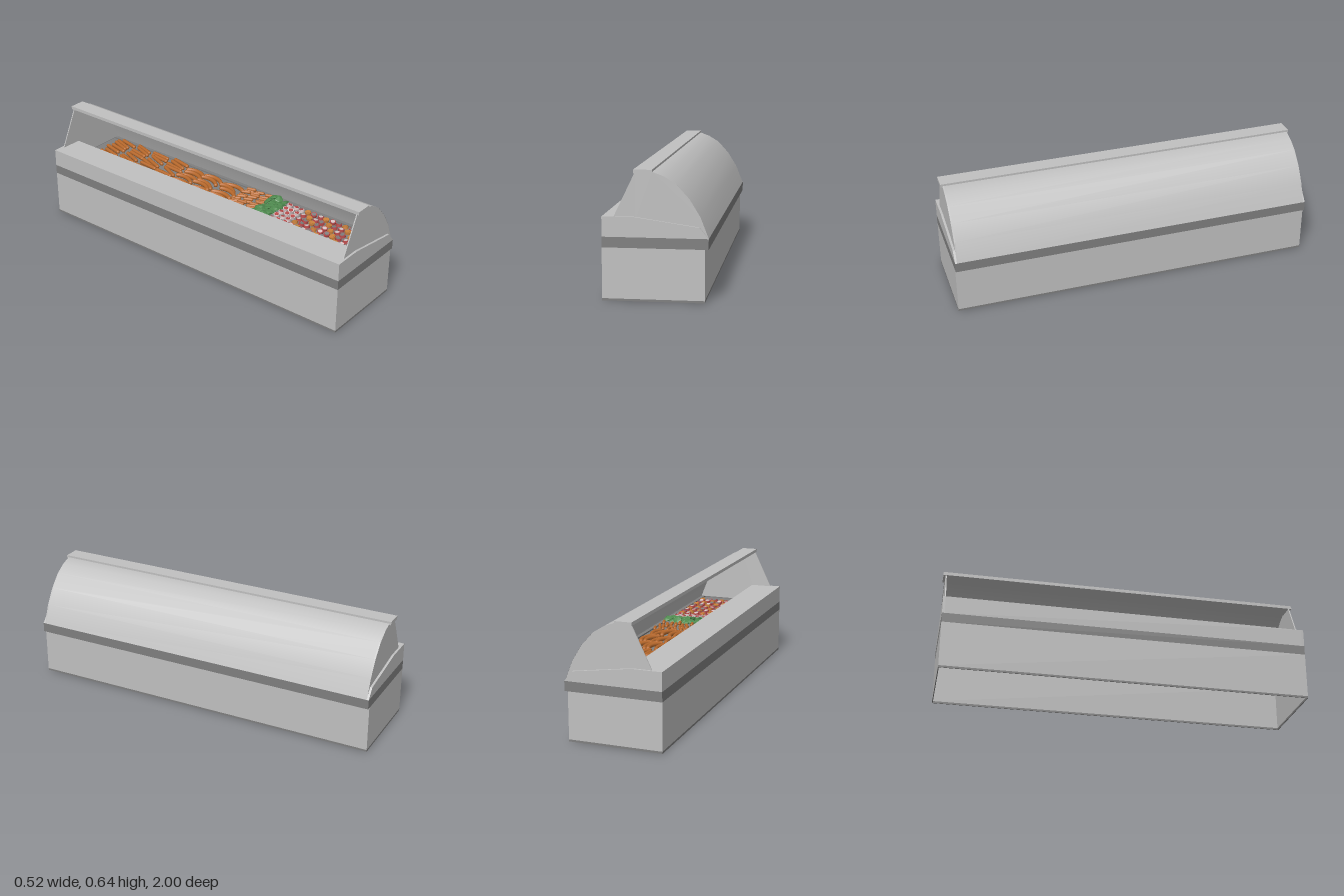
import * as THREE from 'three';
import { mergeGeometries } from 'three/addons/utils/BufferGeometryUtils.js';

const mat = (name, color, extra = {}) => {
  const m = new THREE.MeshStandardMaterial({ color, ...extra });
  m.name = name;
  return m;
};

export function createModel() {
  const model = new THREE.Group();
  model.name = 'displayCounter';
  const light = mat('lightPanel', 0xc0c0c0);
  const glass = mat('canopyPanel', 0xc0c0c0, { side: THREE.DoubleSide });
  const dark = mat('darkTrim', 0x7f7f7f);
  const brown = mat('sausageBrown', 0xb8692c);
  const green = mat('leafGreen', 0x4f8a4f);
  const red = mat('meatRed', 0xb84a4a);
  const pale = mat('meatPale', 0xd9c4c4);
  const orange = mat('meatOrange', 0xc9803c);

  let seed = 7;
  const rand = () => (seed = (seed * 16807) % 2147483647) / 2147483647;
  const vary = (a) => (rand() - 0.5) * 2 * a;

  const add = (parent, name, geometry, material, x = 0, y = 0, z = 0) => {
    const m = new THREE.Mesh(geometry, material);
    m.name = name;
    m.position.set(x, y, z);
    parent.add(m);
    return m;
  };
  const box = (name, x0, x1, y0, y1, z0, z1, material) =>
    add(model, name, new THREE.BoxGeometry(x1 - x0, y1 - y0, z1 - z0), material,
      (x0 + x1) / 2, (y0 + y1) / 2, (z0 + z1) / 2);

  // Four walls of a hollow, bottomless cabinet
  const walls = (name, x0, x1, y0, y1, material, t, front = t) => {
    box(name + 'Back', x0, x0 + t, y0, y1, -1, 1, material);
    box(name + 'Front', x1 - front, x1, y0, y1, -1, 1, material);
    for (const s of [-1, 1]) {
      const z = s * (1 - t / 2);
      box(name + 'End', x0 + t, x1 - front, y0, y1, z - t / 2, z + t / 2, material);
    }
  };
  walls('kickStrip', -0.26, 0.238, 0, 0.011, dark, 0.004);
  walls('cabinet', -0.26, 0.238, 0.011, 0.26, light, 0.004);
  walls('trimBand', -0.26, 0.256, 0.26, 0.312, dark, 0.004, 0.022);
  box('trayFloor', -0.256, 0.234, 0.298, 0.304, -0.996, 0.996, dark);

  // Service counter along the rear
  box('serviceCounter', -0.26, -0.085, 0.312, 0.41, -0.986, 0.986, light);

  const extrude = (points, depth) => new THREE.ExtrudeGeometry(
    new THREE.Shape(points.map(([x, y]) => new THREE.Vector2(x, y))), { depth, bevelEnabled: false });

  // Curved canopy, its end panels and the cabinet end plates
  const arc = [[-0.1, 0.622], [-0.015, 0.627], [0.04, 0.607], [0.1, 0.57],
    [0.163, 0.5], [0.215, 0.415], [0.256, 0.31]];
  const plate = [[-0.26, 0.312], [-0.26, 0.41], [-0.1, 0.41], [0.212, 0.365], [0.256, 0.312]];
  const side = [[-0.205, 0.405], ...arc, [0.2, 0.33], [-0.1, 0.38]];
  for (const s of [-1, 1]) {
    add(model, 'endPlate', extrude(plate, 0.014), light, 0, 0, s > 0 ? 0.986 : -1);
    add(model, 'canopyEnd', extrude(side, 0.006), light, 0, 0, s > 0 ? 0.982 : -0.988);
  }
  const pos = [], index = [];
  arc.forEach(([x, y], i) => {
    pos.push(x, y, 0.99, x, y, -0.99);
    const a = i * 2;
    if (i) index.push(a - 2, a, a - 1, a - 1, a, a + 1);
  });
  const shell = new THREE.BufferGeometry();
  shell.setAttribute('position', new THREE.Float32BufferAttribute(pos, 3));
  shell.setIndex(index);
  shell.computeVertexNormals();
  add(model, 'curvedCanopy', shell, glass);
  box('canopyCap', -0.105, -0.015, 0.62, 0.638, -1, 1, light);

  // Sausages: straight, curved and short ones
  const food = new THREE.Group();
  food.name = 'food';
  model.add(food);
  const straight = new THREE.CapsuleGeometry(0.011, 0.11, 3, 8).rotateX(Math.PI / 2);
  const short = new THREE.CapsuleGeometry(0.009, 0.04, 3, 8).rotateX(Math.PI / 2);
  const R = 0.11, half = 0.6;
  const tips = [-half, half].map((a) => new THREE.SphereGeometry(0.012, 8, 6)
    .translate(R * Math.cos(a), R * Math.sin(a), 0));
  const curved = mergeGeometries([
    new THREE.TorusGeometry(R, 0.012, 8, 10, half * 2).rotateZ(-half), ...tips,
  ]).translate(-R, 0, 0).rotateX(Math.PI / 2);
  const rows = (name, geometry, z0, z1, dz, dx, turn) => {
    for (let z = z0; z <= z1; z += dz)
      for (let x = -0.06; x < 0.215; x += dx) {
        const m = add(food, name, geometry, brown, x + vary(0.004), 0.316 + rand() * 0.008, z + vary(0.015));
        m.rotation.y = turn + vary(0.2);
      }
  };
  rows('straightSausage', straight, -0.86, -0.42, 0.145, 0.03, -0.25);
  rows('curvedSausage', curved, -0.28, 0, 0.14, 0.036, -0.1);
  rows('shortSausage', short, 0.085, 0.22, 0.065, 0.025, 0.3);

  // Leafy divider
  const leaf = new THREE.IcosahedronGeometry(0.034, 0).scale(1, 0.3, 0.8);
  for (let i = 0; i < 30; i++) {
    const m = add(food, 'leaf', leaf, green, -0.06 + (i % 10) * 0.029,
      0.32 + rand() * 0.015, 0.26 + Math.floor(i / 10) * 0.035);
    m.rotation.set(vary(0.5), vary(3), vary(0.5));
  }

  // Round meat cuts with a paler centre
  const cut = new THREE.CylinderGeometry(0.017, 0.017, 0.014, 10);
  const centre = new THREE.CylinderGeometry(0.012, 0.012, 0.004, 10);
  for (let r = 0; r < 13; r++)
    for (let c = 0; c < 7; c++) {
      const g = new THREE.Group();
      g.name = 'meatCut';
      const rim = r < 3 ? pale : (r + c) % 3 === 0 ? orange : red;
      const inner = r < 3 ? red : rim === orange ? orange : r % 2 ? pale : dark;
      add(g, 'rim', cut, rim);
      add(g, 'centre', centre, inner, 0, 0.007, 0);
      g.position.set(-0.05 + c * 0.042 + vary(0.005), 0.316, 0.37 + r * 0.041 + vary(0.004));
      g.rotation.set(vary(0.25), 0, vary(0.25));
      food.add(g);
    }
  return model;
}
